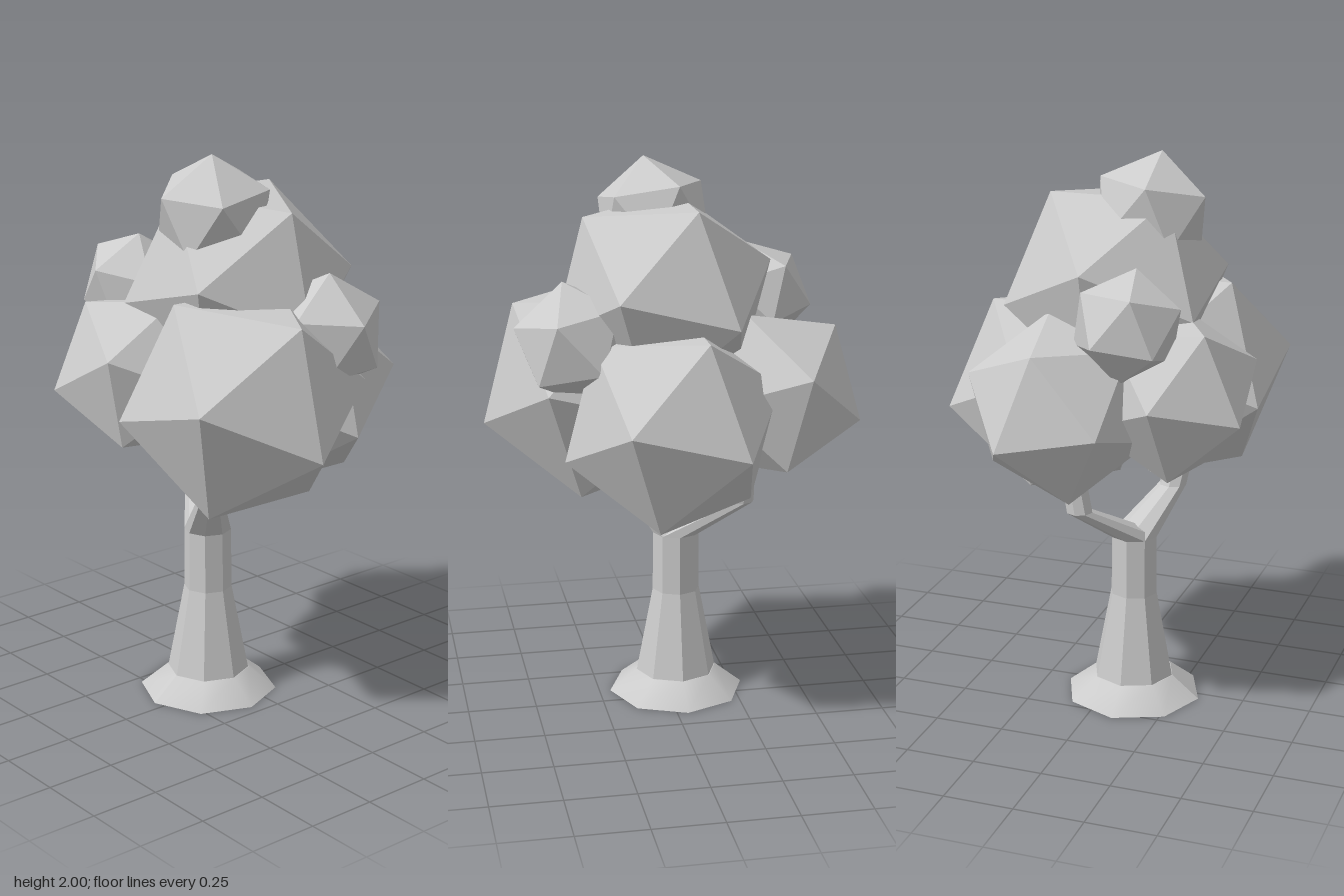
import * as THREE from 'three';

const leafMat = new THREE.MeshStandardMaterial({ color: 0xcccccc, flatShading: true });
const barkMat = new THREE.MeshStandardMaterial({ color: 0xcccccc, flatShading: true });
const rootMat = new THREE.MeshStandardMaterial({ color: 0xcccccc });

// Eight-sided limb through horizontal rings [x, y, z, radius], bottom to top
function limb(name, rings, material = barkMat) {
  const n = rings.length - 1;
  const geo = new THREE.CylinderGeometry(1, 1, n, 8, n);
  const pos = geo.attributes.position;
  for (let i = 0; i < pos.count; i++) {
    const [x, y, z, r] = rings[Math.round(pos.getY(i) + n / 2)];
    pos.setXYZ(i, x + pos.getX(i) * r, y, z + pos.getZ(i) * r);
  }
  geo.computeVertexNormals();
  const mesh = new THREE.Mesh(geo, material);
  mesh.name = name;
  return mesh;
}

// Icosahedral leaf clump, turned so two neighbouring corners point along a and b
function clump(name, radius, center, a, b) {
  const va = new THREE.Vector3(...a).normalize();
  const vb = new THREE.Vector3(...b).normalize();
  const z = va.clone().add(vb).normalize();
  const y = va.clone().sub(vb).normalize();
  const x = y.clone().cross(z);
  const mesh = new THREE.Mesh(new THREE.IcosahedronGeometry(radius, 0), leafMat);
  mesh.quaternion.setFromRotationMatrix(new THREE.Matrix4().makeBasis(x, y, z));
  mesh.position.set(...center);
  mesh.name = name;
  return mesh;
}

export function createModel() {
  const group = new THREE.Group();
  const cx = -0.04, cz = 0.09;

  // Root flare, trunk and the two forking branches
  group.add(limb('rootFlare', [[cx, 0, cz, 0.25], [cx, 0.08, cz, 0.15]], rootMat));
  group.add(limb('trunk', [
    [cx, 0.08, cz, 0.148], [cx, 0.4, cz, 0.087], [cx, 0.62, cz, 0.085],
  ]));
  group.add(limb('rightBranch', [
    [cx, 0.62, cz, 0.085], [-0.255, 0.77, -0.04, 0.048], [-0.25, 0.98, -0.08, 0.045],
  ]));
  group.add(limb('leftBranch', [
    [cx, 0.62, cz, 0.085], [0.1, 0.78, 0.19, 0.05], [0.155, 0.95, 0.22, 0.045],
  ]));

  // Large clumps share one tilt
  const tiltA = [0.97, 0.25, 1.618], tiltB = [-0.97, -0.25, 1.618];
  group.add(clump('upperFoliage', 0.405, [0.025, 1.525, 0], tiltA, tiltB));
  group.add(clump('frontLeftFoliage', 0.429, [0.24, 1.18, 0.157], tiltA, tiltB));
  group.add(clump('backFoliage', 0.398, [0.028, 1.127, -0.227], tiltA, tiltB));

  // Smaller clumps turned individually
  group.add(clump('frontRightFoliage', 0.312, [-0.182, 1.217, 0.277],
    [-0.134, -0.051, 0.278], [0.152, 0.103, 0.253]));
  group.add(clump('backRightFoliage', 0.332, [-0.351, 1.179, -0.075],
    [-0.299, -0.084, -0.12], [-0.229, 0.241, -0.012]));
  group.add(clump('topFoliage', 0.218, [0.037, 1.787, 0.12],
    [0.028, 0.213, 0.035], [-0.027, 0.083, 0.21]));
  group.add(clump('smallRightFoliage', 0.197, [-0.355, 1.488, 0.168],
    [0.053, 0.19, 0.002], [0.013, 0.06, 0.19]));
  group.add(clump('smallLeftFoliage', 0.219, [0.352, 1.4, -0.11],
    [0.028, 0.217, 0.015], [0.222, 0.05, 0.01]));
  return group;
}
